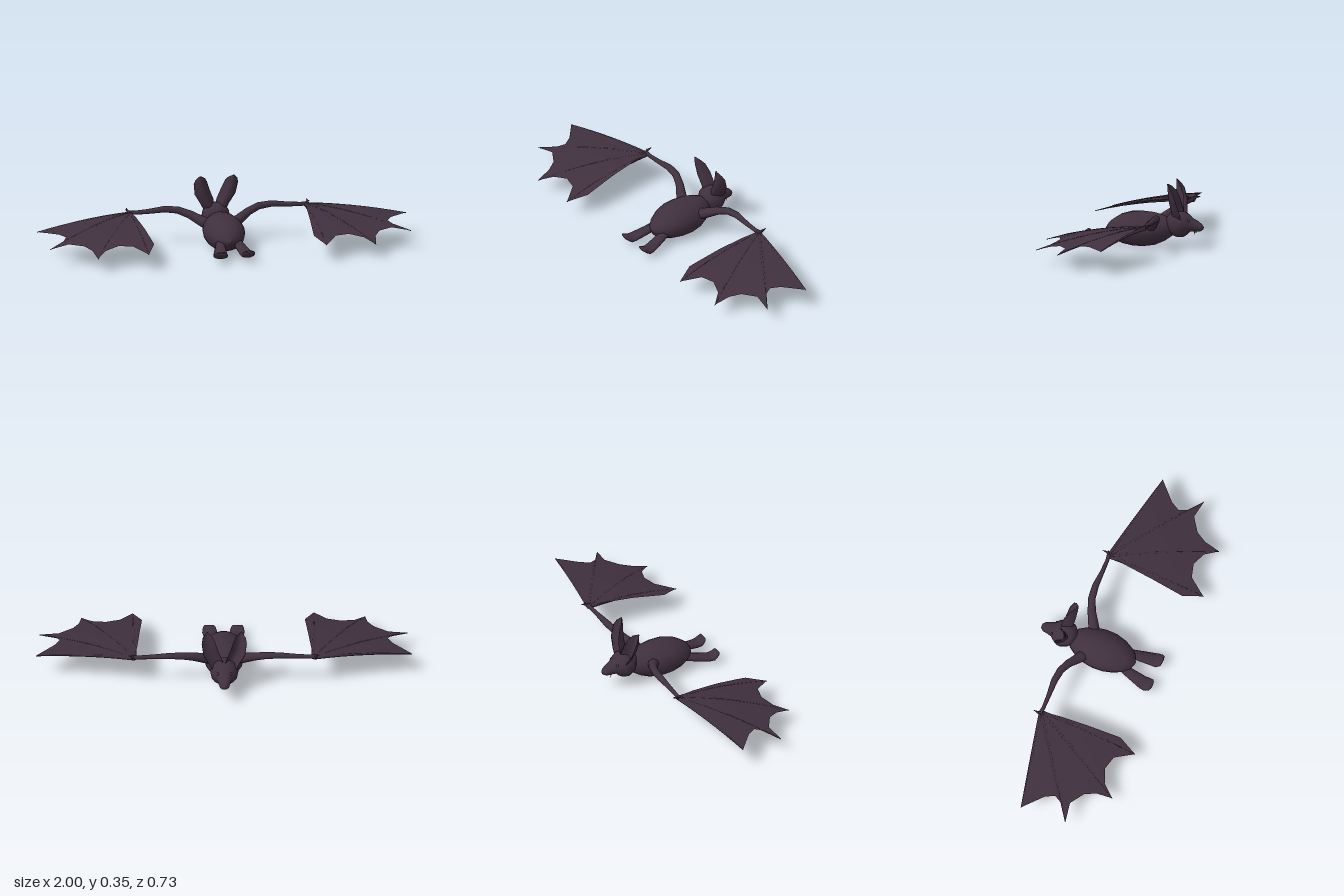
import * as THREE from 'three';

const fur = new THREE.MeshStandardMaterial({ color: 0x40303e, side: THREE.DoubleSide });
fur.name = 'dark plum fur';

const round = (a) => [Math.cos(a), Math.sin(a)];
// Crescent section: domed back, hollow front
const cup = (a) => {
  const c = Math.cos(a);
  return [c, a <= Math.PI ? 1 - 2 * c * c : 0.4 - 1.4 * c * c];
};

// Skin over rings [x, y, z, halfWidth, halfHeight] set square to their path
function loft(name, rings, { sides = 14, up = [0, 1, 0], section = round } = {}) {
  const pts = rings.map((r) => new THREE.Vector3(r[0], r[1], r[2]));
  const pos = [], idx = [], n = rings.length;
  const hint = new THREE.Vector3(...up);
  rings.forEach((r, i) => {
    const t = pts[Math.min(i + 1, n - 1)].clone().sub(pts[Math.max(i - 1, 0)]).normalize();
    const s = hint.clone().cross(t).normalize();
    const u = t.clone().cross(s);
    for (let j = 0; j < sides; j++) {
      const [a, b] = section((j / sides) * Math.PI * 2);
      const p = pts[i].clone().addScaledVector(s, a * r[3]).addScaledVector(u, b * r[4]);
      pos.push(p.x, p.y, p.z);
    }
  });
  for (let i = 0; i < n - 1; i++) {
    for (let j = 0; j < sides; j++) {
      const k = (j + 1) % sides;
      const a = i * sides + j, b = i * sides + k, c = a + sides, d = b + sides;
      idx.push(a, b, d, a, d, c);
    }
  }
  // End caps
  const last = n * sides;
  pos.push(...pts[0].toArray(), ...pts[n - 1].toArray());
  for (let j = 0; j < sides; j++) {
    const k = (j + 1) % sides, e = (n - 1) * sides;
    idx.push(last, k, j, last + 1, e + j, e + k);
  }
  return makeMesh(name, pos, idx);
}

function makeMesh(name, pos, idx) {
  const g = new THREE.BufferGeometry();
  g.setAttribute('position', new THREE.Float32BufferAttribute(pos, 3));
  g.setIndex(idx);
  g.computeVertexNormals();
  const m = new THREE.Mesh(g, fur);
  m.name = name;
  return m;
}

// Wing surface: droops away from the wrist, more towards the trailing edge
const WRIST = [0.475, -0.182];
function wingHeight(x, z) {
  const dx = x - WRIST[0], dz = z - WRIST[1];
  const a = Math.max(0, Math.atan2(dz, dx));
  const r = Math.hypot(dx, dz);
  return 0.187 - (0.05 + 0.04 * Math.min(1, a / 1.1)) * Math.pow(r / 0.55, 1.8);
}

// Finger tips (x, z) from the leading edge to the trailing edge
const TIPS = [[1, -0.083], [0.978, 0.162], [0.754, 0.34], [0.482, 0.36]];
// Scalloped edge between the tips
const SCALLOPS = [
  [[0.9, 0.01], [0.872, 0.06], [0.895, 0.105]],
  [[0.875, 0.147], [0.8, 0.197], [0.768, 0.255]],
  [[0.7, 0.275], [0.625, 0.246], [0.55, 0.266]],
  [[0.433, 0.257], [0.448, 0.08], [0.462, -0.08]],
];

function membrane() {
  const edge = [];
  TIPS.forEach((t, i) => edge.push(t, ...SCALLOPS[i]));
  const rows = 8, n = edge.length, pos = [], idx = [];
  for (let i = 0; i <= rows; i++) {
    for (const [ex, ez] of edge) {
      const f = i / rows;
      const x = WRIST[0] + (ex - WRIST[0]) * f, z = WRIST[1] + (ez - WRIST[1]) * f;
      pos.push(x, wingHeight(x, z), z);
    }
  }
  for (let i = 0; i < rows; i++) {
    for (let j = 0; j < n - 1; j++) {
      const a = i * n + j, b = a + 1, c = a + n, d = c + 1;
      idx.push(a, b, d, a, d, c);
    }
  }
  return makeMesh('wingMembrane', pos, idx);
}

// Finger bone lying along the underside of the membrane
function finger([tx, tz]) {
  const rings = [];
  for (let i = 0; i <= 7; i++) {
    const f = i / 7, r = 0.009 * (1 - f) + 0.002;
    const x = WRIST[0] + (tx - WRIST[0]) * f, z = WRIST[1] + (tz - WRIST[1]) * f;
    rings.push([x, wingHeight(x, z) - r * 0.7, z, r, r]);
  }
  return loft('wingFinger', rings, { sides: 6 });
}

// Everything on the +x side
function buildSide(name) {
  const side = new THREE.Group();
  side.name = name;
  side.add(
    loft('ear', [
      [0.03, 0.16, -0.236, 0.03, 0.026],
      [0.042, 0.2, -0.234, 0.037, 0.029],
      [0.07, 0.255, -0.228, 0.042, 0.027],
      [0.084, 0.31, -0.217, 0.036, 0.019],
      [0.088, 0.335, -0.208, 0.026, 0.011],
      [0.092, 0.358, -0.199, 0.003, 0.002],
    ], { up: [0, 0, 1], section: cup, sides: 16 }),
    loft('arm', [
      [0.05, 0.115, -0.09, 0.034, 0.034],
      [0.1, 0.135, -0.115, 0.028, 0.028],
      [0.16, 0.167, -0.15, 0.022, 0.022],
      [0.22, 0.188, -0.173, 0.02, 0.019],
      [0.29, 0.194, -0.181, 0.018, 0.017],
      [0.38, 0.187, -0.178, 0.012, 0.013],
      [0.45, 0.184, -0.178, 0.01, 0.011],
      [0.49, 0.185, -0.183, 0.011, 0.011],
    ], { sides: 10 }),
    loft('thumbClaw', [
      [0.484, 0.186, -0.175, 0.009, 0.009],
      [0.489, 0.195, -0.198, 0.006, 0.006],
      [0.488, 0.2, -0.22, 0.001, 0.001],
    ], { sides: 6 }),
    loft('wristSpur', [
      [0.475, 0.186, -0.182, 0.007, 0.007],
      [0.5, 0.2, -0.192, 0.001, 0.001],
    ], { sides: 6 }),
    loft('leg', [
      [0.04, 0.08, 0.09, 0.022, 0.025],
      [0.055, 0.06, 0.16, 0.029, 0.02],
      [0.07, 0.042, 0.235, 0.037, 0.016],
      [0.073, 0.042, 0.262, 0.04, 0.015],
      [0.075, 0.058, 0.284, 0.034, 0.011],
      [0.075, 0.068, 0.291, 0.026, 0.006],
    ], { sides: 10 }),
    membrane(),
    ...TIPS.map(finger),
  );
  // Small fang and eye
  const fang = new THREE.Mesh(new THREE.ConeGeometry(0.004, 0.022, 6), fur);
  fang.name = 'fang';
  fang.rotation.x = Math.PI;
  fang.position.set(0.014, 0.086, -0.327);
  const eye = new THREE.Mesh(new THREE.SphereGeometry(0.009, 10, 8), fur);
  eye.name = 'eye';
  eye.position.set(0.034, 0.155, -0.296);
  side.add(fang, eye);
  return side;
}

export function createModel() {
  const bat = new THREE.Group();
  bat.name = 'bat';
  bat.add(
    loft('body', [
      [0, 0.09, 0.165, 0.008, 0.008],
      [0, 0.088, 0.148, 0.045, 0.038],
      [0, 0.088, 0.12, 0.07, 0.057],
      [0, 0.093, 0.075, 0.093, 0.079],
      [0, 0.097, 0.02, 0.108, 0.092],
      [0, 0.097, -0.04, 0.11, 0.094],
      [0, 0.1, -0.1, 0.1, 0.087],
      [0, 0.107, -0.15, 0.078, 0.071],
      [0, 0.113, -0.185, 0.055, 0.052],
      [0, 0.118, -0.2, 0.03, 0.03],
    ], { sides: 18 }),
    loft('head', [
      [0, 0.125, -0.18, 0.035, 0.04],
      [0, 0.13, -0.2, 0.061, 0.063],
      [0, 0.131, -0.235, 0.075, 0.073],
      [0, 0.13, -0.262, 0.072, 0.069],
      [0, 0.13, -0.285, 0.058, 0.056],
      [0, 0.128, -0.303, 0.042, 0.038],
      [0, 0.122, -0.33, 0.033, 0.03],
      [0, 0.114, -0.356, 0.026, 0.021],
      [0, 0.113, -0.37, 0.013, 0.009],
    ], { sides: 16 }),
  );
  const left = buildSide('leftSide');
  const right = buildSide('rightSide');
  right.scale.x = -1;
  bat.add(left, right);
  return bat;
}
